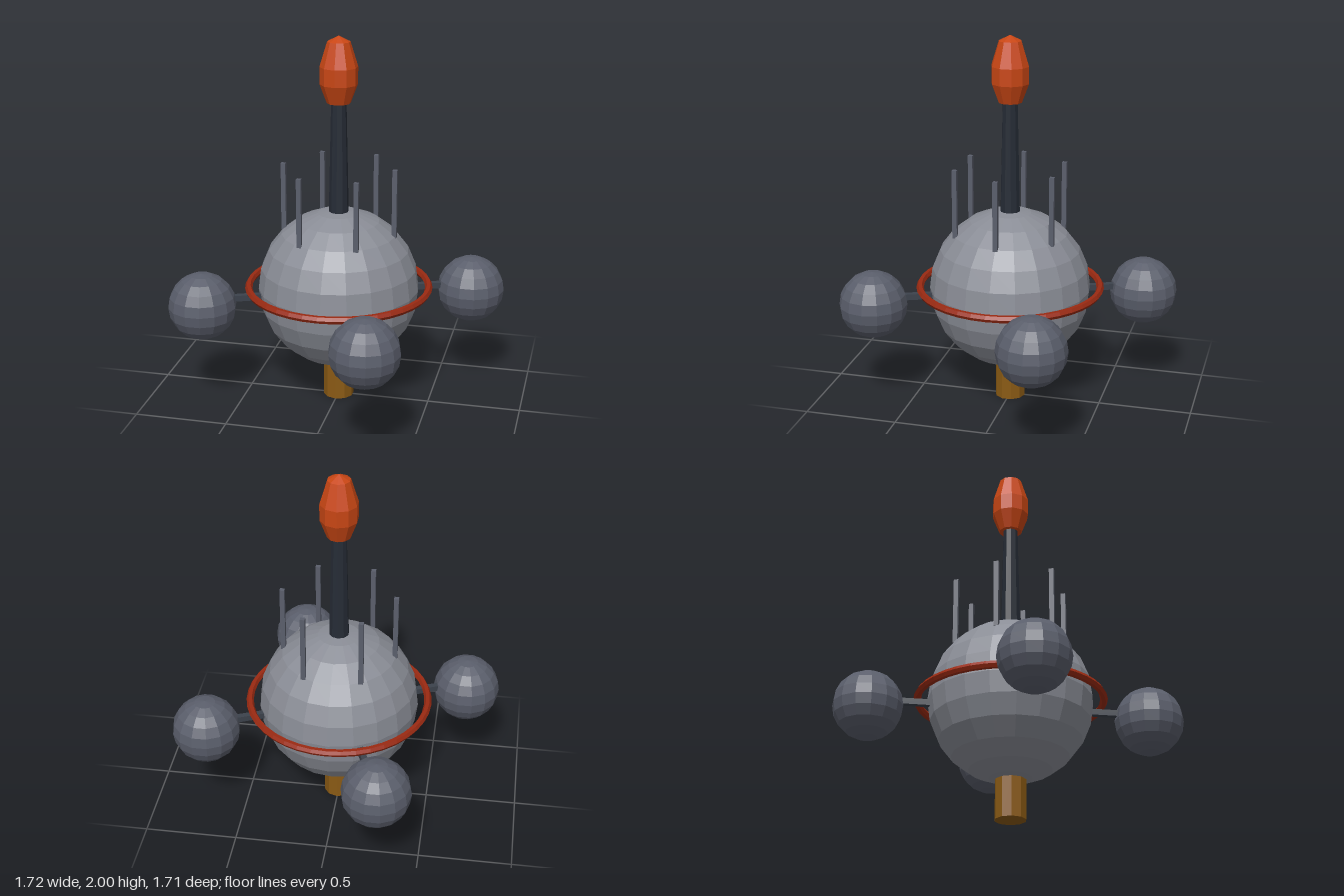
import * as THREE from 'three';

const HULL_Y = 0.637, HULL_R = 0.432;

function material(color) {
  return new THREE.MeshStandardMaterial({ color, flatShading: true });
}

function addPart(parent, name, geometry, mat, x = 0, y = 0, z = 0) {
  const mesh = new THREE.Mesh(geometry, mat);
  mesh.name = name;
  mesh.position.set(x, y, z);
  parent.add(mesh);
  return mesh;
}

export function createModel() {
  const model = new THREE.Group();
  model.name = 'sphericalStation';

  const hullMat = material(0x8a8d96);
  const podMat = material(0x5a5e6b);
  const strutMat = material(0x3c424c);
  const mastMat = material(0x262c36);
  const ringMat = material(0x9a2a12);
  const tipMat = material(0xc84614);
  const nozzleMat = material(0x8a5a14);

  // Main body and the nozzle it stands on
  addPart(model, 'hull', new THREE.SphereGeometry(HULL_R, 20, 12), hullMat, 0, HULL_Y, 0);
  addPart(model, 'nozzle', new THREE.CylinderGeometry(0.082, 0.082, 0.21, 10), nozzleMat, 0, 0.105, 0);

  // Equatorial ring, standing clear of the hull
  const ring = addPart(model, 'equatorRing', new THREE.TorusGeometry(0.485, 0.02, 6, 40), ringMat, 0, 0.64, 0);
  ring.rotation.x = Math.PI / 2;

  // Tapered mast with a faceted capsule on top
  addPart(model, 'mast', new THREE.CylinderGeometry(0.04, 0.053, 0.61, 10), mastMat, 0, 1.355, 0);
  const profile = [
    [0, 1.65], [0.062, 1.65], [0.1, 1.75], [0.1, 1.84], [0.06, 1.97], [0, 2],
  ].map(([r, y]) => new THREE.Vector2(r, y));
  addPart(model, 'mastCapsule', new THREE.LatheGeometry(profile, 10), tipMat);

  // Four pods on struts, a quarter turn apart
  const podGeometry = new THREE.SphereGeometry(0.182, 14, 10);
  const strutGeometry = new THREE.BoxGeometry(0.4, 0.032, 0.032);
  for (let i = 0; i < 4; i++) {
    const arm = new THREE.Group();
    arm.name = 'podArm' + (i + 1);
    arm.rotation.y = Math.atan2(0.285, 0.68) + i * Math.PI / 2;
    addPart(arm, 'strut', strutGeometry, strutMat, 0.53, 0.605, 0);
    const pod = addPart(arm, 'pod', podGeometry, podMat, 0.737, 0.573, 0);
    pod.rotation.y = -arm.rotation.y;
    model.add(arm);
  }

  // Six upright antennas around the top of the hull
  const antennaGeometry = new THREE.BoxGeometry(0.025, 0.37, 0.025);
  for (let i = 0; i < 6; i++) {
    const a = i * Math.PI / 3;
    addPart(model, 'antenna' + (i + 1), antennaGeometry, podMat, 0.3 * Math.cos(a), 1.122, 0.3 * Math.sin(a));
  }

  return model;
}
